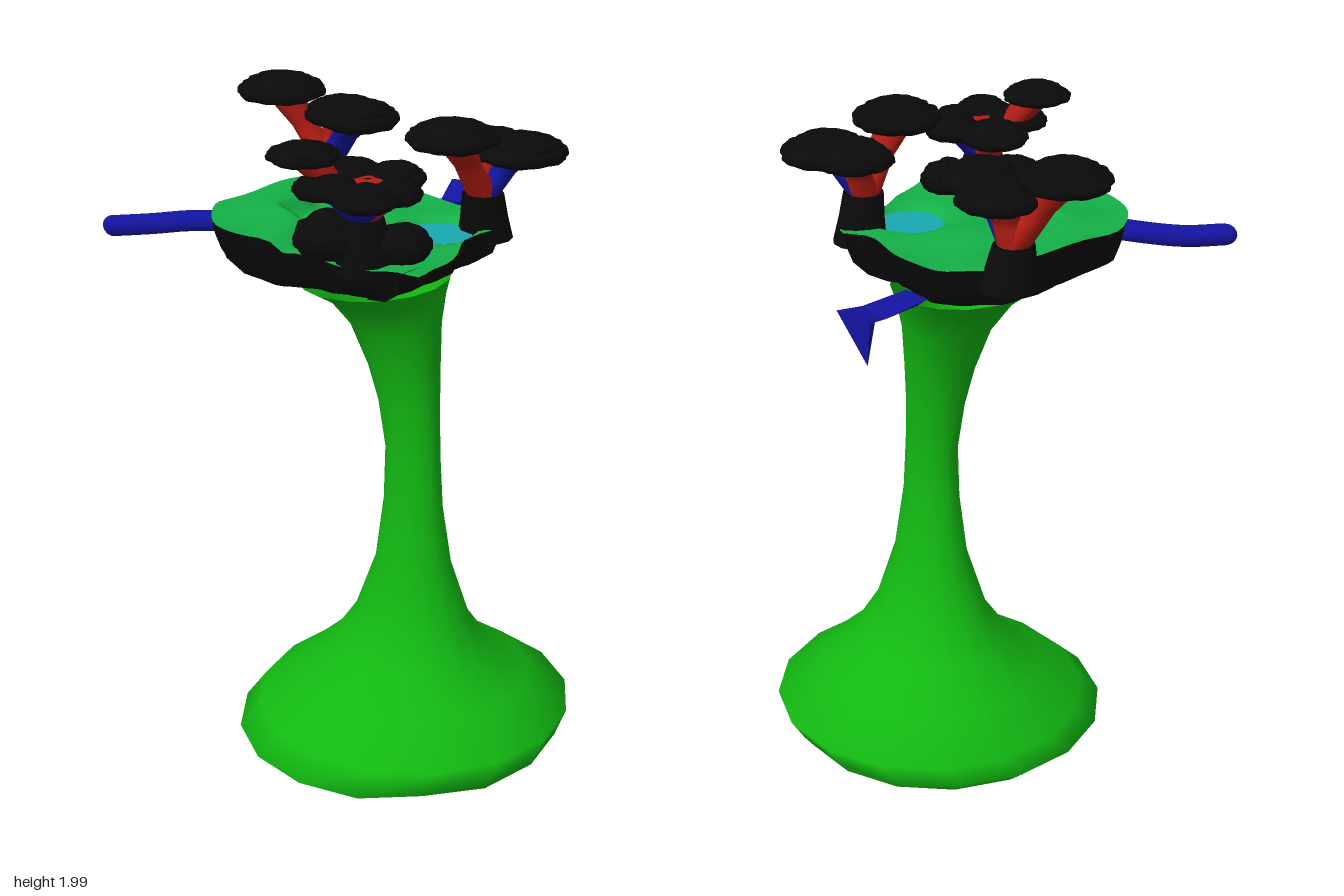
import * as THREE from 'three';

const V = (x, y, z) => new THREE.Vector3(x, y, z);
const mat = (color) => new THREE.MeshStandardMaterial({ color, side: THREE.DoubleSide });
const green = mat(0x12b812), black = mat(0x0a0a0a), blue = mat(0x1414a0), red = mat(0xb01c14);
const grass = mat(0x14b048), water = mat(0x18a8b0);

// Skin a stack of closed rings (all with the same number of points)
function loft(rings) {
  const n = rings[0].length, pos = [], idx = [];
  rings.forEach((r) => r.forEach((p) => pos.push(p.x, p.y, p.z)));
  for (let i = 0; i < rings.length - 1; i++) {
    for (let j = 0; j < n; j++) {
      const a = i * n + j, b = i * n + (j + 1) % n, c = a + n, d = b + n;
      idx.push(a, c, b, b, c, d);
    }
  }
  const g = new THREE.BufferGeometry();
  g.setAttribute('position', new THREE.Float32BufferAttribute(pos, 3));
  g.setIndex(idx);
  g.computeVertexNormals();
  return g;
}

function ellipse(y, x0, x1, z0, z1, n) {
  return Array.from({ length: n }, (_, j) => {
    const t = (j / n) * Math.PI * 2;
    return V((x0 + x1) / 2 + Math.cos(t) * (x1 - x0) / 2, y, (z0 + z1) / 2 + Math.sin(t) * (z1 - z0) / 2);
  });
}

function add(parent, name, geometry, material) {
  const m = new THREE.Mesh(geometry, material);
  m.name = name;
  parent.add(m);
  return m;
}

// Rim of the floating island, seen from above
const rim = new THREE.CatmullRomCurve3([
  [0.24, -0.04], [0.22, 0.06], [0.18, 0.18], [0.2, 0.28], [0.1, 0.34], [-0.05, 0.33], [-0.17, 0.38], [-0.3, 0.4],
  [-0.4, 0.42], [-0.39, 0.33], [-0.42, 0.2], [-0.43, 0.06], [-0.47, -0.04], [-0.48, -0.14], [-0.45, -0.24],
  [-0.39, -0.31], [-0.27, -0.375], [-0.14, -0.355], [0, -0.34], [0.12, -0.3], [0.2, -0.2], [0.245, -0.12],
].map(([x, z]) => V(x, 0, z)), true).getSpacedPoints(72).slice(0, 72);
const CX = -0.12;

// Ground height: raised terrace at the back and left, round pond at the front, small bumps
function groundY(x, z) {
  const { smoothstep } = THREE.MathUtils;
  const edge = -0.2 + 0.18 * smoothstep(-x, 0.2, 0.28) - 0.07 * smoothstep(x, -0.1, 0.05);
  const terrace = smoothstep(edge - z, -0.02, 0.025);
  const bank = 1 - smoothstep(Math.hypot(x + 0.02, z - 0.21), 0.09, 0.125);
  return 1.655 + 0.04 * terrace - 0.025 * bank + 0.009 * Math.sin(17 * x + 2) * Math.cos(15 * z);
}

function island() {
  const g = new THREE.Group();
  g.name = 'island';
  const rings = [];
  for (let i = 0; i <= 24; i++) {
    const s = 1 - i / 24;
    rings.push(rim.map((p) => {
      const x = CX + (p.x - CX) * s, z = p.z * s;
      return V(x, groundY(x, z), z);
    }));
  }
  add(g, 'ground', loft(rings), grass);

  // rocky bowl wall, open underneath
  const level = (y, sx, sz) => rim.map((p, i) => {
    const bump = 1 + 0.015 * Math.sin(i * 1.7);
    const x = CX + (p.x - CX) * sx * bump;
    return V(x, y - 0.04 * x, THREE.MathUtils.clamp(p.z, -0.37, 0.36) * sz * bump);
  });
  const top = rim.map((p) => V(p.x, groundY(p.x, p.z), Math.min(p.z, 0.37)));
  add(g, 'rockWall', loft([level(1.525, 0.8, 0.58), level(1.54, 0.87, 0.78), level(1.575, 0.93, 0.93),
    level(1.62, 0.97, 0.97), top]), black);

  const pond = add(g, 'pond', new THREE.CircleGeometry(0.1, 32).rotateX(-Math.PI / 2), water);
  pond.position.set(-0.02, 1.64, 0.21);
  return g;
}

// Cushion of foliage: squashed ball with a scalloped edge and a stepped surface
function cushion(parent, name, [x, y, z], r, h, seed, material) {
  const geo = new THREE.SphereGeometry(1, 48, 20);
  const p = geo.attributes.position;
  for (let i = 0; i < p.count; i++) {
    const a = Math.atan2(p.getZ(i), p.getX(i)), v = p.getY(i);
    const edge = 1 + 0.03 * Math.sin(11 * a + seed) + 0.025 * Math.sin(5 * a + 2 * seed);
    const step = v + 0.09 * Math.sin(v * 13 + 2 * Math.sin(a + seed));
    p.setXYZ(i, x + p.getX(i) * r * edge, y + step * h * (v < 0 ? 0.8 : 1), z + p.getZ(i) * r * edge);
  }
  geo.computeVertexNormals();
  add(parent, name, geo, material);
}

// Tapered limb with level cross-sections
function limb(parent, name, points, radii, material) {
  const curve = new THREE.CatmullRomCurve3(points.map((q) => V(...q)));
  const rings = [];
  for (let i = 0; i <= 12; i++) {
    const t = i / 12, c = curve.getPoint(t), k = t * (radii.length - 1), f = Math.min(Math.floor(k), radii.length - 2);
    const r = THREE.MathUtils.lerp(radii[f], radii[f + 1], k - f);
    rings.push(ellipse(c.y, c.x - r, c.x + r, c.z - r, c.z + r, 12));
  }
  add(parent, name, loft(rings), material);
}

// base: trunk foot, fork: where the branches part, crowns: [x, y, z, radius, half height]
function tree(name, base, fork, crowns, footRadius) {
  const g = new THREE.Group();
  g.name = name;
  const mid = base.map((b, i) => (b + fork[i]) / 2);
  limb(g, 'trunk', [base, mid, fork], [footRadius, footRadius * 0.85, 0.06], black);
  crowns.forEach(([x, y, z, r, h], i) => {
    const bend = [(fork[0] + x) / 2, (fork[1] + y) / 2, (fork[2] + z) / 2];
    limb(g, 'branch', [fork, bend, [x, y, z]], [0.05, 0.04, 0.06], i % 2 ? blue : red);
    cushion(g, 'foliage', [x, y, z], r, h, i * 2.3 + base[0] * 10, black);
    cushion(g, 'foliageTop', [x - r * 0.06, y + h * 0.5, z + r * 0.05], r * 0.76, h * 0.75, i + 1, black);
  });
  return g;
}

export function createModel() {
  const model = new THREE.Group();
  model.name = 'treeIslandOnPedestal';

  // flared pedestal: [y, x min, x max, z min, z max], front-left corner slightly cut
  const sections = [
    [0.01, -0.47, 0.45, -0.37, 0.53], [0.035, -0.535, 0.465, -0.405, 0.59], [0.1, -0.47, 0.5, -0.37, 0.6],
    [0.2, -0.33, 0.36, -0.24, 0.47], [0.29, -0.23, 0.23, -0.14, 0.375], [0.4, -0.155, 0.145, -0.065, 0.31],
    [0.58, -0.11, 0.085, 0.005, 0.255], [0.78, -0.09, 0.05, 0.035, 0.23], [0.95, -0.085, 0.045, 0.04, 0.22],
    [1.1, -0.095, 0.055, 0.015, 0.215], [1.22, -0.12, 0.075, -0.015, 0.212], [1.35, -0.165, 0.105, -0.06, 0.21],
    [1.44, -0.23, 0.145, -0.12, 0.22], [1.495, -0.315, 0.18, -0.185, 0.24],
  ];
  const rings = sections.map((s) => ellipse(...s, 16).map((p) => {
    const cut = Math.max(0, p.z - p.x - 0.8) / 2;
    return V(p.x + cut, p.y, p.z - cut);
  }));
  add(model, 'pedestal', loft(rings), green);
  add(model, 'pedestalBottom', loft([ellipse(0.004, -0.02, -0.02, 0.08, 0.08, 16), rings[0]]), green);

  model.add(island());

  model.add(tree('backTree', [0.13, 1.61, -0.28], [0.12, 1.74, -0.29],
    [[0.07, 1.94, -0.425, 0.13, 0.042], [0.1, 1.89, -0.16, 0.12, 0.045], [0.16, 1.875, -0.265, 0.12, 0.042]], 0.085));
  model.add(tree('frontTree', [0.12, 1.61, 0.28], [0.09, 1.75, 0.29],
    [[-0.05, 1.94, 0.28, 0.13, 0.042], [0.155, 1.87, 0.37, 0.135, 0.042], [0.15, 1.87, 0.27, 0.115, 0.042]], 0.08));
  const sideTree = tree('sideTree', [-0.34, 1.62, 0.2], [-0.34, 1.77, 0.19],
    [[-0.455, 1.95, 0.08, 0.1, 0.03], [-0.445, 1.86, 0.28, 0.09, 0.036], [-0.28, 1.86, 0.1, 0.1, 0.036],
      [-0.245, 1.865, 0.23, 0.085, 0.036], [-0.34, 1.855, 0.305, 0.07, 0.034], [-0.44, 1.865, 0.14, 0.09, 0.034]], 0.09);
  cushion(sideTree, 'hollowCrown', [-0.335, 1.85, 0.205], 0.1, 0.03, 1, red);
  model.add(sideTree);

  // boulders at the foot of the side tree
  cushion(model, 'boulder', [-0.37, 1.7, 0.1], 0.1, 0.075, 3, black);
  cushion(model, 'boulder', [-0.28, 1.69, 0.28], 0.08, 0.06, 5, black);

  // fallen log at the back, slightly flattened, with closed outer end
  const path = new THREE.CatmullRomCurve3([V(-0.325, 0.02, -0.3), V(-0.38, 0.01, -0.41), V(-0.44, 0, -0.485), V(-0.525, 0, -0.565)]);
  const log = new THREE.Group();
  log.name = 'log';
  log.position.y = 1.645;
  log.scale.y = 0.72;
  add(log, 'logBody', new THREE.TubeGeometry(path, 16, 0.043, 8), blue);
  add(log, 'logEnd', new THREE.SphereGeometry(0.042, 12, 8).scale(0.6, 1, 0.8), blue).position.copy(path.getPoint(1));
  model.add(log);

  // drifting shard with a flared tail
  const pts = [[0.29, 1.595, -0.045], [0.305, 1.595, -0.135], [0.43, 1.58, -0.005], [0.44, 1.57, -0.1], [0.55, 1.61, -0.02],
    [0.545, 1.6, -0.135], [0.3, 1.56, -0.09], [0.44, 1.55, -0.06], [0.54, 1.47, -0.12]];
  const shard = new THREE.BufferGeometry();
  shard.setAttribute('position', new THREE.Float32BufferAttribute(pts.flat(), 3));
  shard.setIndex([0, 2, 1, 1, 2, 3, 2, 4, 3, 3, 4, 5, 0, 6, 2, 6, 7, 2, 1, 3, 6, 3, 7, 6, 0, 1, 6, 2, 7, 4, 7, 8, 4, 3, 5, 7, 5, 8, 7, 4, 8, 5]);
  const flat = shard.toNonIndexed();
  flat.computeVertexNormals();
  add(model, 'shard', flat, blue);

  return model;
}
